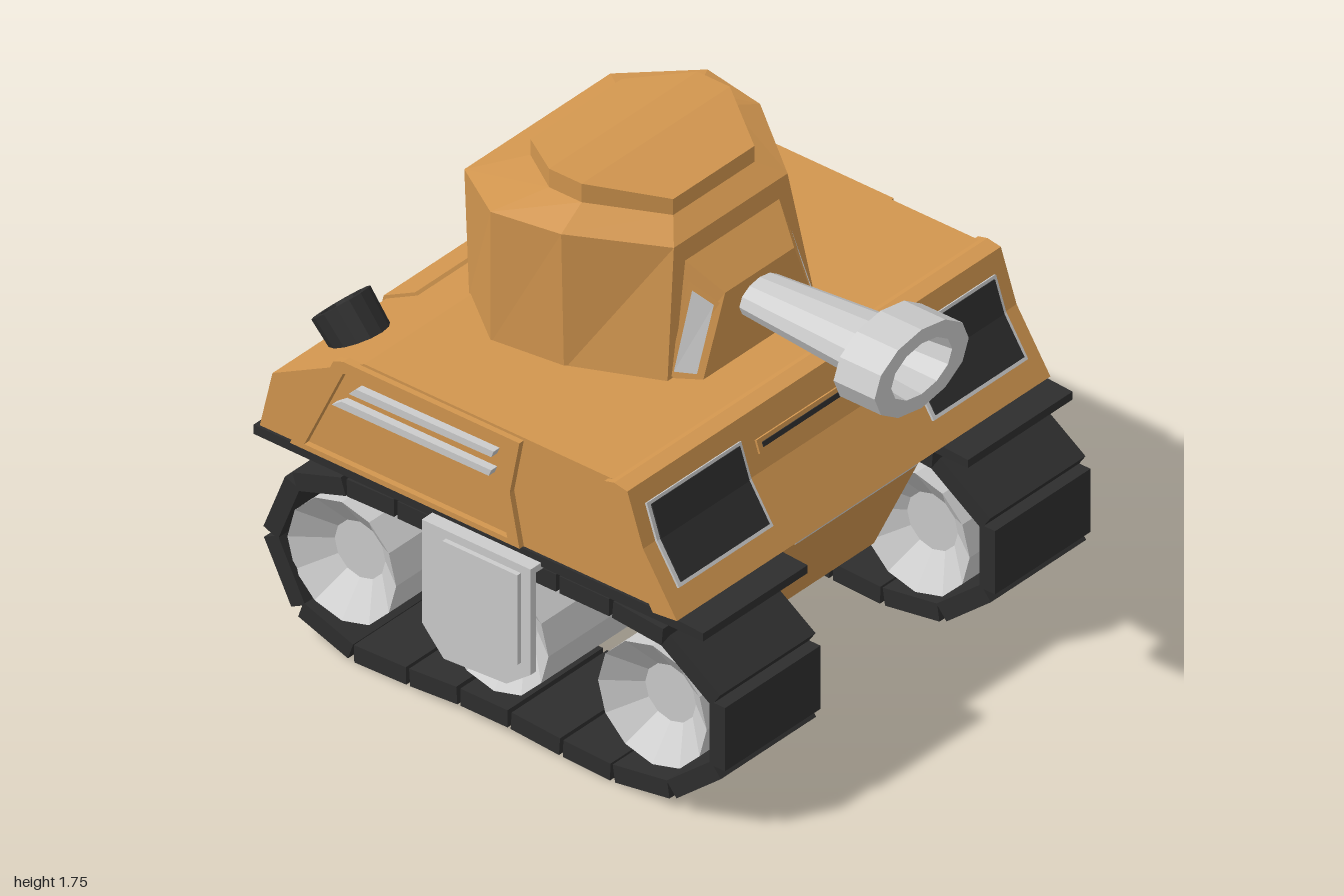
import * as THREE from 'three';

const make = (color) => new THREE.MeshStandardMaterial({ color, flatShading: true, side: THREE.DoubleSide });
const tan = make(0xd2964f), dark = make(0x2e2e2e), grey = make(0xcccccc);

function add(parent, name, geometry, material) {
  const mesh = new THREE.Mesh(geometry, material);
  mesh.name = name;
  parent.add(mesh);
  return mesh;
}

// Side profile of [z, y] points, extruded from x0 to x1
function extrudeX(points, x0, x1, hole) {
  const shape = new THREE.Shape(points.map(([z, y]) => new THREE.Vector2(z, y)));
  if (hole) shape.holes.push(new THREE.Path(hole.map(([z, y]) => new THREE.Vector2(z, y))));
  const g = new THREE.ExtrudeGeometry(shape, { depth: x1 - x0, bevelEnabled: false });
  return g.rotateY(-Math.PI / 2).translate(x1, 0, 0);
}

// Thin plate that follows a [z, y] line, standing out on both sides of it by (dz, dy)
function plate(line, x0, x1, dz, dy) {
  const outer = line.map(([z, y]) => [z + dz, y + dy]);
  const inner = line.map(([z, y]) => [z - dz, y - dy]).reverse();
  return extrudeX([...outer, ...inner], x0, x1);
}

function fromQuads(quads) {
  const v = quads.flatMap(([a, b, c, d]) => [a, b, c, a, c, d]).flat();
  const g = new THREE.BufferGeometry();
  g.setAttribute('position', new THREE.Float32BufferAttribute(v, 3));
  g.computeVertexNormals();
  return g;
}

// Symmetric loft: each half ring lists [x, y, z] from front to back on the +x side
function loft(halves) {
  const rings = halves.map((h) => [...h, ...h.map(([x, y, z]) => [-x, y, z]).reverse()]);
  const n = rings[0].length, quads = [];
  for (let k = 0; k + 1 < rings.length; k++)
    for (let i = 0; i < n; i++) {
      const j = (i + 1) % n;
      quads.push([rings[k][i], rings[k][j], rings[k + 1][j], rings[k + 1][i]]);
    }
  const top = rings[rings.length - 1], base = rings[0];
  for (let i = 0; i < n / 2 - 1; i++) {
    quads.push([top[i], top[i + 1], top[n - 2 - i], top[n - 1 - i]]);
    quads.push([base[n - 1 - i], base[n - 2 - i], base[i + 1], base[i]]);
  }
  return fromQuads(quads);
}

// Depth of the bent front face and the sloped rear deck
const frontZ = (y) => (y > 0.96 ? 0.62 - (y - 0.96) * 0.342 : 0.62 + (0.96 - y) * 0.65);
const deckY = (z) => 1.155 + (z + 0.55) * 0.513;

function buildHull(root) {
  const hull = new THREE.Group();
  hull.name = 'hull';
  root.add(hull);
  add(hull, 'lowerHull', loft([
    [[0.36, 0.285, 0.5], [0.36, 0.285, -0.85]],
    [[0.41, 0.745, 0.7], [0.41, 0.745, -0.985]],
  ]), tan);
  add(hull, 'upperHull', extrudeX([[0.5, 1.155], [0.6, 0.96], [0.7, 0.73], [-0.985, 0.73], [-0.93, 0.96], [-0.55, 1.155]], -0.9, 0.9), tan);
  add(hull, 'frontFascia', extrudeX([[0.46, 1.15], [0.5, 1.16], [0.555, 1.15], [0.62, 0.96], [0.76, 0.745], [0.66, 0.735], [0.53, 0.95]], -0.92, 0.92), tan);
  add(hull, 'frontBar', new THREE.BoxGeometry(0.6, 0.035, 0.06).translate(0, 0.727, 0.7), grey);

  // Front windows and slot
  const face = (...ys) => ys.map((y) => [frontZ(y), y]);
  for (const s of [-1, 1]) {
    const span = (a, b) => (s > 0 ? [a, b] : [-b, -a]);
    add(hull, 'windowFrame', plate(face(1.085, 0.96, 0.82), ...span(0.395, 0.86), 0.008, 0.004), grey);
    add(hull, 'window', plate(face(1.075, 0.96, 0.832), ...span(0.41, 0.845), 0.013, 0.006), dark);
  }
  add(hull, 'slotFrame', plate(face(1.06, 1.015), -0.33, 0.33, 0.008, 0.003), tan);
  add(hull, 'frontSlot', plate(face(1.046, 1.03), -0.31, 0.31, 0.012, 0.004), dark);

  // Side panels with raised frame and louvres
  const outer = [[0.11, 1.145], [0.07, 0.94], [0.11, 0.745], [-0.84, 0.745], [-0.66, 1.13], [-0.62, 1.145]];
  const inner = [[0.05, 1.11], [0.02, 0.94], [0.06, 0.765], [-0.78, 0.765], [-0.62, 1.1], [-0.58, 1.11]];
  for (const s of [-1, 1]) {
    const span = (a, b) => (s > 0 ? [a, b] : [-b, -a]);
    add(hull, 'sideFrame', extrudeX(outer, ...span(0.89, 0.922), inner), tan);
    add(hull, 'sideLouvre', extrudeX([[0.01, 1.075], [0, 1.05], [-0.59, 1.04], [-0.56, 1.07]], ...span(0.89, 0.93)), grey);
    add(hull, 'sideLouvre', extrudeX([[0, 1.0], [-0.01, 0.975], [-0.66, 0.97], [-0.62, 0.998]], ...span(0.89, 0.93)), grey);
    add(hull, 'fender', extrudeX([[0.86, 0.705], [0.86, 0.735], [0.7, 0.745], [-1, 0.74], [-1, 0.705], [0.66, 0.705]], ...span(0.395, 0.91)), dark);
  }

  // Rear deck slots, hatch and exhaust
  for (const z of [-0.735, -0.82])
    add(hull, 'deckSlot', plate([[z + 0.02, deckY(z + 0.02)], [z - 0.02, deckY(z - 0.02)]], 0.42, 0.845, -0.003, 0.006), dark);
  add(hull, 'rearHatch', plate([[-0.8, deckY(-0.8)], [-0.93, 0.96], [-0.978, 0.77]], -0.34, 0.34, -0.01, 0.008), tan);
  add(hull, 'rearVent', plate([[-0.942, 0.91], [-0.968, 0.81]], -0.22, 0.22, -0.016, 0.004), dark);
  const exhaust = new THREE.Group();
  exhaust.name = 'exhaust';
  const tube = [[0.1, -0.22], [0.108, 0], [0.075, 0], [0.07, -0.07]].map((p) => new THREE.Vector2(...p));
  add(exhaust, 'exhaustTube', new THREE.LatheGeometry(tube, 14), dark);
  add(exhaust, 'exhaustCore', new THREE.CylinderGeometry(0.065, 0.065, 0.06, 14).translate(0, -0.06, 0), grey);
  exhaust.position.set(-0.635, 1.12, -0.87);
  exhaust.rotation.x = -0.71;
  hull.add(exhaust);
}

function buildTurret(root) {
  const turret = new THREE.Group();
  turret.name = 'turret';
  root.add(turret);
  const ring = (xz, ends, mid) => xz.map(([x, z], i) => [x, i === 0 || i === 3 ? ends : mid, z]);
  const hatch = [[0.2, 0.14], [0.365, -0.1], [0.365, -0.235], [0.225, -0.43]];
  add(turret, 'turretBody', loft([
    ring([[0.36, 0.25], [0.5, -0.06], [0.535, -0.335], [0.36, -0.57]], 1.14, 1.14),
    ring([[0.28, 0.21], [0.49, -0.08], [0.535, -0.335], [0.36, -0.59]], 1.605, 1.64),
    ring(hatch, 1.66, 1.69),
  ]), tan);
  add(turret, 'turretHatch', loft([ring(hatch, 1.655, 1.685), ring(hatch, 1.72, 1.76)]), tan);

  // Gun mount with a window on each flank
  const a = [0.28, 1.15, 0.33], b = [0.37, 1.15, 0.2], c = [0.24, 1.55, 0.2], d = [0.17, 1.43, 0.33];
  add(turret, 'gunMount', loft([[a, b], [d, c]]), tan);
  const V = (p) => new THREE.Vector3(...p);
  const on = (u, v, out) => V(a).lerp(V(b), u).lerp(V(d).lerp(V(c), u), v).add(new THREE.Vector3(0.8, 0.25, 0.5).multiplyScalar(out)).toArray();
  const flank = (m, out) => [on(0.15 - m, 0.08 - m / 2, out), on(0.62 + m, 0.08 - m / 2, out), on(0.62 + m, 0.82 + m / 2, out), on(0.15 - m, 0.82 + m / 2, out)];
  for (const s of [-1, 1]) {
    const side = (q) => (s > 0 ? q : q.map(([x, y, z]) => [-x, y, z]).reverse());
    add(turret, 'mountWindowFrame', fromQuads([side(flank(0.1, 0.004))]), tan);
    add(turret, 'mountWindow', fromQuads([side(flank(0, 0.008))]), grey);
  }

  // Hollow oval gun
  const profile = [[0.1, 0.32], [0.143, 0.83], [0.232, 0.83], [0.232, 1], [0.15, 1], [0.068, 0.34]];
  const gun = new THREE.LatheGeometry(profile.map((p) => new THREE.Vector2(...p)), 12);
  add(turret, 'gun', gun.rotateX(Math.PI / 2).scale(1, 0.64, 1).translate(0, 1.34, 0), grey);
}

function buildRunningGear(root) {
  // Centre line of the track as [z, y] joints
  const path = [
    [0.69, 0.64], [0.91, 0.49], [0.91, 0.235], [0.715, 0.075], [0.475, 0.038], [0.265, 0.045], [0.05, 0.06],
    [-0.16, 0.06], [-0.37, 0.045], [-0.6, 0.038], [-0.82, 0.115], [-0.94, 0.345], [-0.845, 0.585],
    [-0.63, 0.655], [-0.42, 0.66], [-0.2, 0.66], [0.02, 0.66], [0.25, 0.66], [0.47, 0.66],
  ];
  const wheel = [[0, 0.5], [0.105, 0.5], [0.225, 0.415], [0.225, 0.88], [0.105, 0.79], [0, 0.79]];
  for (const s of [-1, 1]) {
    const side = new THREE.Group();
    side.name = s > 0 ? 'leftRunningGear' : 'rightRunningGear';
    root.add(side);
    path.forEach(([z, y], i) => {
      const [z2, y2] = path[(i + 1) % path.length];
      const length = Math.hypot(z2 - z, y2 - y) - 0.015;
      const pad = add(side, 'trackPad', new THREE.BoxGeometry(0.47, 0.065, length), dark);
      pad.position.set(s * 0.665, (y + y2) / 2, (z + z2) / 2);
      pad.rotation.x = Math.atan2(y - y2, z2 - z);
    });
    for (const z of [0.625, -0.03, -0.66]) {
      const g = new THREE.LatheGeometry(wheel.map((p) => new THREE.Vector2(...p)), 12);
      const mesh = add(side, 'wheel', g.rotateZ(-Math.PI / 2), grey);
      mesh.position.set(0, 0.35, z);
      if (s < 0) mesh.rotation.y = Math.PI, mesh.position.z = z;
    }

    // Side skirt with a raised middle and a bent top
    const dz = s > 0 ? 0 : -0.05;
    const span = (a, b) => (s > 0 ? [a, b] : [-b, -a]);
    const move = (pts) => pts.map(([z, y]) => [z + dz, y]);
    add(side, 'skirt', extrudeX(move([[0.24, 0.72], [0.24, 0.32], [0.14, 0.245], [-0.12, 0.23], [-0.21, 0.33], [-0.21, 0.72]]), ...span(0.935, 0.962)), grey);
    add(side, 'skirtPanel', extrudeX(move([[0.2, 0.69], [0.2, 0.35], [0.13, 0.28], [-0.07, 0.28], [-0.11, 0.32], [-0.11, 0.69]]), ...span(0.955, 0.98)), grey);
    add(side, 'skirtTop', extrudeX(move([[0.24, 0.72], [0.24, 0.695], [-0.21, 0.695], [-0.21, 0.72]]), ...span(0.89, 0.94)), grey);
  }
}

export function createModel() {
  const root = new THREE.Group();
  root.name = 'tank';
  buildHull(root);
  buildTurret(root);
  buildRunningGear(root);
  return root;
}
